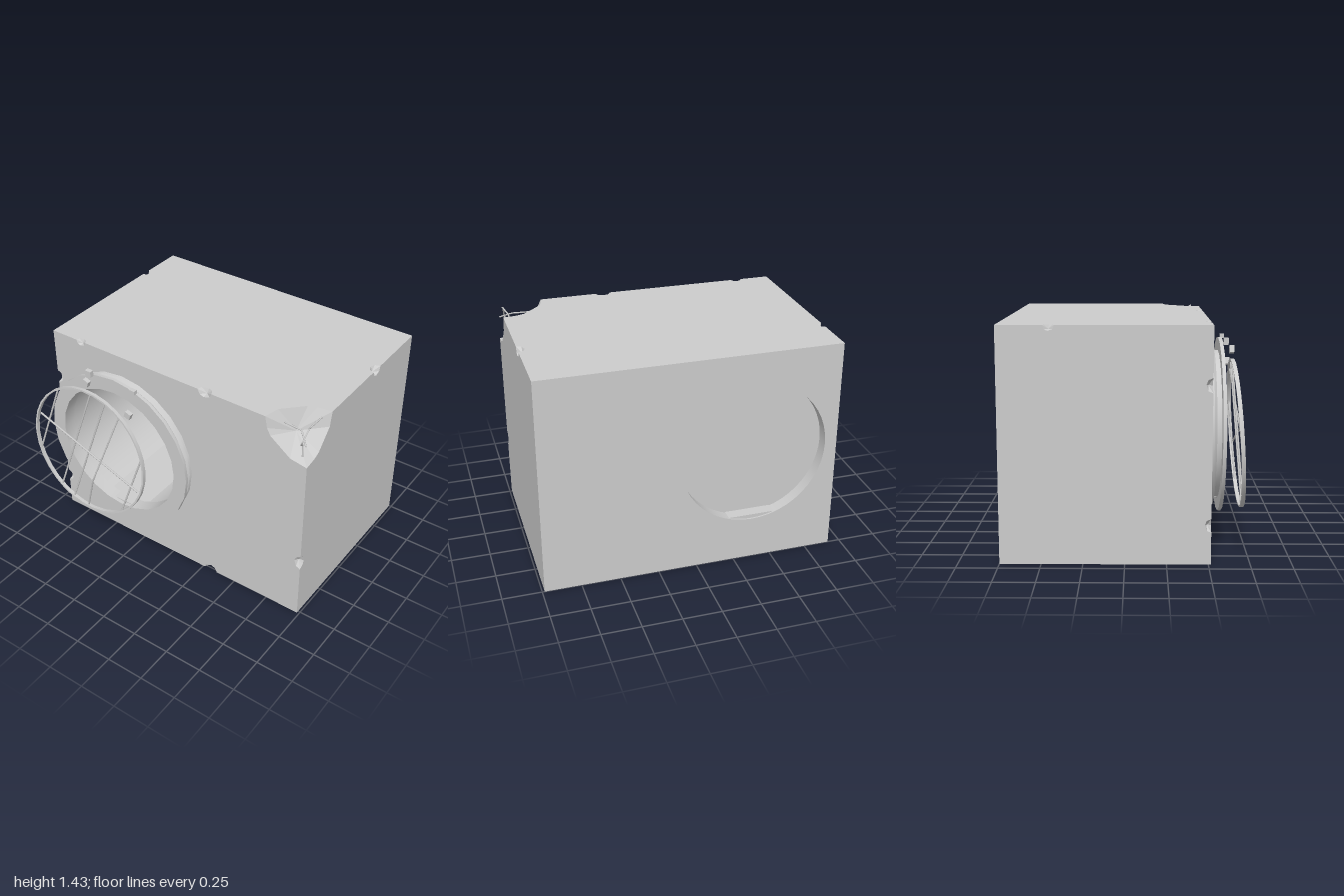
import * as THREE from 'three';
import { toCreasedNormals } from 'three/addons/utils/BufferGeometryUtils.js';

const V = (x, y, z) => new THREE.Vector3(x, y, z);
const material = new THREE.MeshStandardMaterial({ color: 0xcccccc, side: THREE.DoubleSide });
const flatMaterial = new THREE.MeshStandardMaterial({ color: 0xcccccc, flatShading: true });

// block extents and the pipe running through it
const MIN = V(-0.92, 0, -0.75), MAX = V(0.985, 1.43, 0.515);
const PIPE_X = -0.367, PIPE_Y = 0.757, PIPE_R = 0.475;

// small chips along the edges: centre, half length, depth
const CHIPS = [
  [V(-0.69, MAX.y, MAX.z), 0.036, 0.032],
  [V(0.27, MAX.y, MAX.z), 0.05, 0.042],
  [V(MIN.x, 1.08, MAX.z), 0.045, 0.04],
  [V(MIN.x, 0.24, MAX.z), 0.042, 0.038],
  [V(MAX.x, 0.435, MAX.z), 0.05, 0.042],
  [V(0.31, 0, MAX.z), 0.05, 0.04],
  [V(MAX.x, MAX.y, -0.28), 0.044, 0.045],
  [V(MIN.x, MAX.y, -0.44), 0.034, 0.034],
];
// large broken corner: its reach along x, y and z
const BREAK = V(0.29, 0.245, 0.26);

function mesh(name, geometry, mat = material) {
  const m = new THREE.Mesh(geometry, mat);
  m.name = name;
  return m;
}

function rod(name, points, radius) {
  const path = new THREE.CurvePath();
  for (let i = 1; i < points.length; i++) path.add(new THREE.LineCurve3(points[i - 1], points[i]));
  return mesh(name, new THREE.TubeGeometry(path, 12, radius, 6, false));
}

// each face is a rectangle notched by the chips; every notch sends a fan of triangles to the pit's deepest point
function createBlock() {
  const block = new THREE.Group();
  block.name = 'concreteBlock';
  const pits = [];
  const axes = [V(1, 0, 0), V(0, 1, 0), V(0, 0, 1)];
  const middle = MIN.clone().add(MAX).multiplyScalar(0.5);
  const half = MAX.clone().sub(MIN).multiplyScalar(0.5);
  const notch = (outline, points, apex) => {
    points.forEach((p, i) => { if (i) pits.push(p, points[i - 1], apex); });
    outline.push(...points);
  };

  for (let k = 0; k < 3; k++) for (const side of [1, -1]) {
    const n = axes[k].clone().multiplyScalar(side);
    let u = axes[(k + 1) % 3], v = axes[(k + 2) % 3];
    if (side < 0) [u, v] = [v, u];
    const corners = [[-1, -1], [1, -1], [1, 1], [-1, 1]].map(([a, b]) =>
      n.clone().addScaledVector(u, a).addScaledVector(v, b).multiply(half).add(middle));
    const dirs = [u, v, u.clone().negate(), v.clone().negate()];
    const outline = [];
    corners.forEach((c, i) => {
      const along = dirs[i], inward = dirs[(i + 1) % 4], next = corners[(i + 1) % 4];
      if (c.distanceTo(MAX) < 1e-4) {
        const back = inward.clone().multiply(BREAK), ahead = along.clone().multiply(BREAK);
        const apex = c.clone().addScaledVector(back, 0.58).addScaledVector(ahead, 0.58)
          .addScaledVector(n.clone().multiply(BREAK), -0.58);
        notch(outline, [0, 0.4, 1.05, 1.25, Math.PI / 2].map(t =>
          c.clone().addScaledVector(back, Math.cos(t)).addScaledVector(ahead, Math.sin(t))), apex);
      } else outline.push(c);
      CHIPS.filter(([p]) => c.distanceTo(p) + p.distanceTo(next) < c.distanceTo(next) + 1e-4)
        .sort((a, b) => a[0].distanceTo(c) - b[0].distanceTo(c))
        .forEach(([p, h, d]) => {
          const apex = p.clone().addScaledVector(inward, d * 0.7).addScaledVector(n, -d * 0.7);
          notch(outline, [[-1, 0], [-0.75, 0.7], [0.1, 1], [0.7, 0.75], [1, 0]].map(([s, t]) =>
            p.clone().addScaledVector(along, s * h).addScaledVector(inward, t * d)), apex);
        });
    });
    const origin = corners[0];
    const flat = p => new THREE.Vector2(p.clone().sub(origin).dot(u), p.clone().sub(origin).dot(v));
    const shape = new THREE.Shape(outline.map(flat));
    if (k === 2) {
      const c = flat(V(PIPE_X, PIPE_Y, 0));
      shape.holes.push(new THREE.Path().absarc(c.x, c.y, PIPE_R, 0, Math.PI * 2, true));
    }
    const face = new THREE.ShapeGeometry(shape, 24);
    face.applyMatrix4(new THREE.Matrix4().makeBasis(u, v, n).setPosition(origin));
    block.add(mesh('blockFace', face, flatMaterial));
  }
  const pitGeometry = new THREE.BufferGeometry().setFromPoints(pits);
  pitGeometry.computeVertexNormals();
  block.add(mesh('chippedConcrete', pitGeometry, flatMaterial));
  return block;
}

function createPipe() {
  const pipe = new THREE.Group();
  pipe.name = 'pipe';
  pipe.position.set(PIPE_X, PIPE_Y, 0);
  const length = MAX.z - MIN.z;
  const wall = new THREE.CylinderGeometry(PIPE_R, PIPE_R, length, 48, 1, true).rotateX(Math.PI / 2);
  wall.translate(0, 0, (MAX.z + MIN.z) / 2);
  pipe.add(mesh('pipeWall', wall));

  // plug near the back end
  const plug = mesh('pipePlug', new THREE.CircleGeometry(PIPE_R, 48));
  plug.position.z = -0.67;
  pipe.add(plug);

  // spool-shaped collar on the front
  const profile = [[0.455, 0.51], [0.535, 0.51], [0.53, 0.53], [0.515, 0.545], [0.47, 0.545],
    [0.47, 0.578], [0.552, 0.578], [0.552, 0.6], [0.455, 0.6], [0.455, 0.51]];
  const collar = new THREE.LatheGeometry(profile.map(p => new THREE.Vector2(...p)), 24);
  collar.rotateX(Math.PI / 2);
  pipe.add(mesh('collar', toCreasedNormals(collar, 0.5)));

  // flat silt along the bottom
  const a = Math.acos(0.445 / 0.47);
  const silt = new THREE.Shape().absarc(0, 0, 0.47, -Math.PI / 2 - a, -Math.PI / 2 + a, false);
  const siltMesh = mesh('silt', new THREE.ExtrudeGeometry(silt, { depth: 1.32, bevelEnabled: false }));
  siltMesh.position.z = -0.745;
  pipe.add(siltMesh);
  return pipe;
}

function createGrate() {
  const grate = new THREE.Group();
  grate.name = 'grate';
  const R = 0.455;
  const rim = new THREE.LatheGeometry([[R - 0.006, -0.012], [R + 0.006, -0.012], [R + 0.006, 0.012],
    [R - 0.006, 0.012], [R - 0.006, -0.012]].map(p => new THREE.Vector2(...p)), 32).rotateX(Math.PI / 2);
  grate.add(mesh('grateRim', toCreasedNormals(rim, 0.5)));
  // bars, some missing and one bent outward
  for (const x of [-0.357, -0.118, 0, 0.126, 0.372]) {
    const y = Math.sqrt(R * R - x * x);
    const points = [V(x, -y, 0), V(x, y, 0)];
    if (x === 0.126) points.splice(1, 0, V(x, -0.14, 0.055));
    grate.add(rod('grateBar', points, 0.006));
  }
  grate.add(rod('crossBar', [V(-0.43, 0, 0.008), V(0.435, 0, 0.008)], 0.007));
  grate.rotation.set(-0.066, 0, -0.327);
  grate.position.set(-0.54, 0.73, 0.686);
  return grate;
}

export function createModel() {
  const model = new THREE.Group();
  model.name = 'brokenDrainBlock';
  model.add(createBlock(), createPipe(), createGrate());

  // broken hinge pieces: x, y, z, roll
  for (const [x, y, z, roll] of [[-0.545, 1.3, 0.615, 0], [-0.195, 1.3, 0.615, 0],
    [-0.543, 1.25, 0.65, -0.35], [-0.213, 1.137, 0.65, -0.35]]) {
    const hinge = mesh('hingePiece', new THREE.BoxGeometry(0.043, z < 0.63 && x > -0.3 ? 0.025 : 0.042, 0.028));
    hinge.position.set(x, y, z);
    hinge.rotation.z = roll;
    model.add(hinge);
  }

  // bent reinforcement rods in the broken corner
  const rods = [
    [V(0.93, 1.16, 0.47), V(0.925, 1.3, 0.47), V(0.945, 1.34, 0.525), V(0.955, 1.42, 0.46)],
    [V(0.78, 1.38, 0.44), V(0.9, 1.38, 0.45), V(0.975, 1.335, 0.52)],
    [V(0.94, 1.39, 0.24), V(0.93, 1.385, 0.42), V(0.96, 1.42, 0.47)],
  ];
  for (const points of rods) model.add(rod('reinforcementRod', points, 0.005));
  return model;
}
